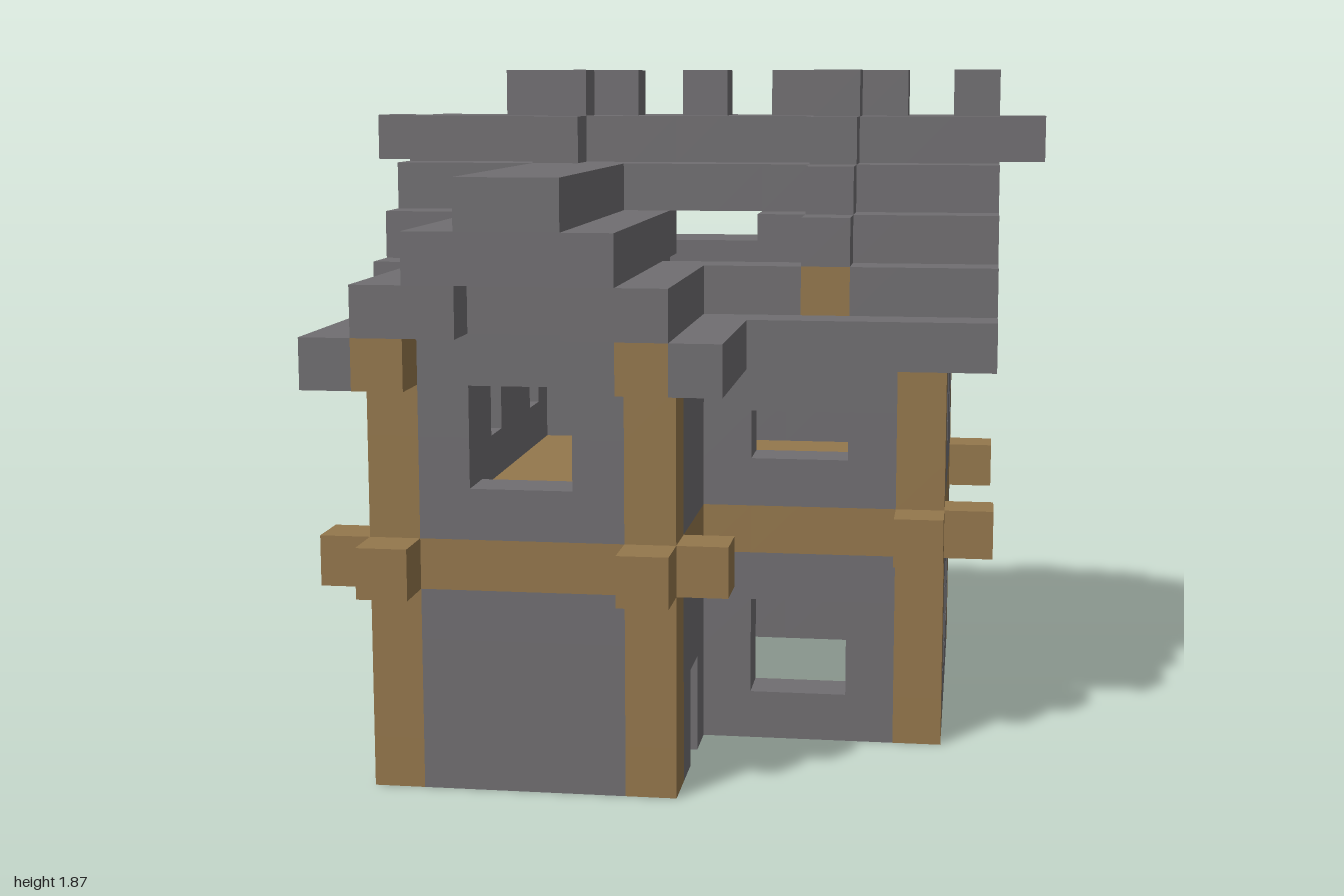
import * as THREE from 'three';
import { mergeGeometries } from 'three/addons/utils/BufferGeometryUtils.js';

const U = 2 / 15; // block size on a 15 x 14 x 15 grid

export function createModel() {
  const stone = new THREE.MeshStandardMaterial({ color: 0x706e71 });
  stone.name = 'stone';
  const timber = new THREE.MeshStandardMaterial({ color: 0x94774c });
  timber.name = 'timber';

  // Block map: each cell belongs to one named part; later fills replace earlier ones
  const cells = new Map();
  const key = (x, y, z) => x + ',' + y + ',' + z;
  const fill = (part, [x0, x1], [y0, y1], [z0, z1]) => {
    for (let x = x0; x <= x1; x++)
      for (let y = y0; y <= y1; y++)
        for (let z = z0; z <= z1; z++) {
          if (part) cells.set(key(x, y, z), { part, x, y, z });
          else cells.delete(key(x, y, z));
        }
  };
  const put = (part, x, y, z) => fill(part, [x, x], [y, y], [z, z]);
  const cut = (xs, ys, zs) => fill(null, xs, ys, zs);

  // Walls of the main house and the front wing
  for (const x of [2, 12]) fill('walls', [x, x], [0, 7], [1, 9]);
  fill('walls', [2, 12], [0, 7], [1, 1]);
  fill('walls', [8, 12], [0, 7], [9, 9]);
  for (const x of [2, 7]) fill('walls', [x, x], [0, 8], [10, 13]);
  fill('walls', [2, 7], [0, 8], [13, 13]);

  // Gable walls
  for (let i = 0; i < 3; i++)
    for (const x of [2, 12]) fill('gableWalls', [x, x], [9 + i, 9 + i], [3 + i, 7 - i]);
  fill('gableWalls', [4, 5], [9, 9], [13, 13]);

  // Windows and door
  for (const x of [4, 6, 8, 10])
    for (const y of [1, 6]) cut([x, x], [y, y + 1], [1, 1]);
  for (const x of [2, 12]) {
    for (const z of [3, 5, 7]) cut([x, x], [1, 2], [z, z]);
    for (const z of [3, 7]) cut([x, x], [6, 7], [z, z]);
  }
  cut([9, 10], [1, 2], [9, 9]);
  cut([9, 10], [6, 6], [9, 9]);
  cut([4, 5], [6, 7], [13, 13]);
  cut([7, 7], [0, 1], [11, 11]);

  // Upper floor, showing outside as a timber band
  fill('upperFloor', [2, 12], [4, 4], [1, 9]);
  fill('upperFloor', [2, 7], [4, 4], [10, 13]);

  // Beams under the main roof
  for (const x of [2, 12]) fill('topBeams', [x, x], [8, 8], [1, 9]);
  fill('topBeams', [2, 12], [8, 8], [1, 1]);
  fill('topBeams', [8, 12], [8, 8], [9, 9]);

  // Corner posts
  for (const [x, z] of [[2, 1], [12, 1], [2, 9], [12, 9], [7, 9], [2, 13], [7, 13]])
    fill('cornerPosts', [x, x], [0, 8], [z, z]);

  // Main roof: stepped slopes up to a ridge at z = 5
  const roofTop = (z) => Math.min(12, 13 - Math.abs(z - 5));
  for (let z = 0; z <= 10; z++) {
    const d = Math.abs(z - 5), top = roofTop(z);
    const low = d === 0 || d >= 4 ? top : top - 1;
    for (let x = 1; x <= 13; x++) {
      if (z === 10 && x >= 2 && x <= 7) continue;
      fill('mainRoof', [x, x], [low, top], [z, z]);
    }
  }

  // Wing roof, running back until it meets the main slope
  for (let x = 1; x <= 8; x++) {
    const n = x < 5 ? x - 1 : 8 - x;
    const top = 8 + n, low = n >= 2 ? top - 1 : top;
    for (let z = 7; z <= 14; z++)
      for (let y = low; y <= top; y++)
        if (z >= 10 || y > roofTop(z)) put('wingRoof', x, y, z);
  }

  // Openings in both roof slopes
  cut([7, 8], [9, 10], [8, 8]);
  cut([7, 8], [10, 10], [7, 7]);
  cut([6, 8], [10, 11], [3, 3]);
  cut([6, 8], [10, 10], [2, 2]);

  // Raised ribs on the roof, with timber feet
  for (const x of [4, 10]) {
    for (let z = 1; z <= 9; z++) put('roofRibs', x, roofTop(z) + 1, z);
    for (const z of [1, 9]) put('ribFeet', x, 9, z);
  }

  // Ridge ends and crest blocks
  for (const x of [0, 14]) put('ridgeEnds', x, 12, 5);
  for (const x of [3, 4, 5, 7, 9, 10, 11, 13]) put('ridgeCrest', x, 13, 5);

  // Beam ends sticking out at the upper floor and under the eaves
  for (const [x, z] of [[1, 13], [2, 14], [8, 13], [7, 14], [13, 9], [12, 10],
    [1, 1], [2, 0], [13, 1], [12, 0], [1, 9]]) put('beamEnds', x, 4, z);
  for (const [x, z] of [[1, 1], [1, 9], [13, 1], [13, 9], [2, 14], [7, 14]])
    put('eaveBeamEnds', x, 8, z);

  // One mesh per part, made from the exposed block faces
  const sides = [[1, 0, 0], [-1, 0, 0], [0, 1, 0], [0, -1, 0], [0, 0, 1], [0, 0, -1]];
  const faces = sides.map(([dx, dy, dz]) => {
    const g = new THREE.PlaneGeometry(U, U).translate(0, 0, U / 2);
    if (dy) g.rotateX(-dy * Math.PI / 2);
    else g.rotateY(Math.atan2(dx, dz));
    return g;
  });
  const parts = {};
  for (const { part, x, y, z } of cells.values())
    sides.forEach(([dx, dy, dz], i) => {
      if (cells.has(key(x + dx, y + dy, z + dz))) return;
      (parts[part] ??= []).push(
        faces[i].clone().translate((x - 7) * U, (y + 0.5) * U, (z - 7) * U));
    });

  const timberParts = ['upperFloor', 'topBeams', 'cornerPosts', 'ribFeet', 'beamEnds', 'eaveBeamEnds'];
  const house = new THREE.Group();
  house.name = 'house';
  for (const [name, list] of Object.entries(parts)) {
    const mesh = new THREE.Mesh(mergeGeometries(list), timberParts.includes(name) ? timber : stone);
    mesh.name = name;
    house.add(mesh);
  }
  return house;
}
